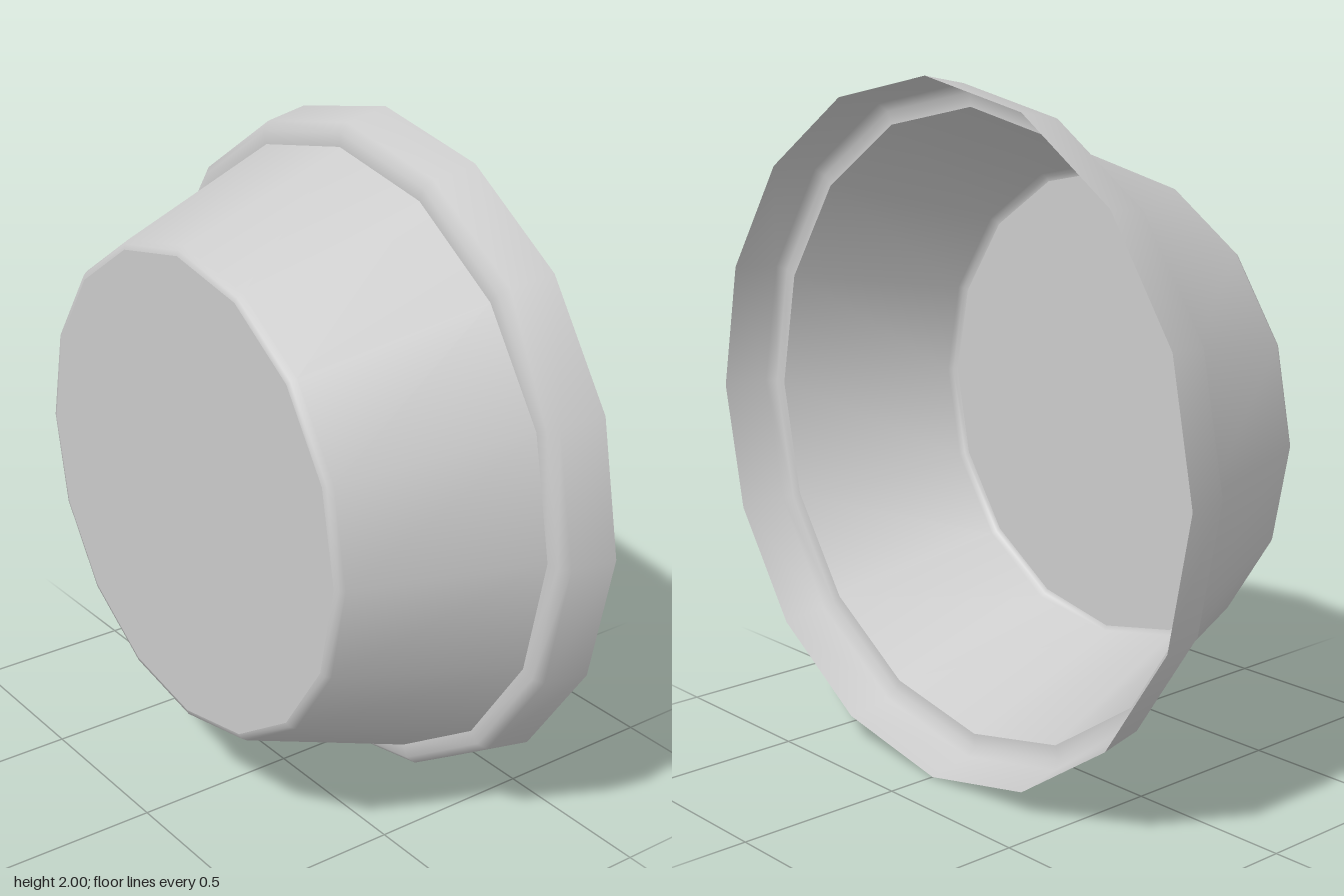
import * as THREE from 'three';

const SIDES = 16;

export function createModel() {
  const model = new THREE.Group();
  model.name = 'dish';
  const material = new THREE.MeshStandardMaterial({ color: 0xcccccc, side: THREE.DoubleSide });

  const add = (name, geometry) => {
    const mesh = new THREE.Mesh(geometry, material);
    mesh.name = name;
    mesh.position.y = 1;
    model.add(mesh);
  };

  // Thin ring turned about the z axis from [radius, z] pairs
  const turned = (profile) =>
    new THREE.LatheGeometry(profile.map(([r, z]) => new THREE.Vector2(r, z)), SIDES).rotateX(Math.PI / 2);

  // Flared lip around the open back, with a bevelled step down to the wall
  add('rim', turned([[1, -0.35], [0.975, -0.215], [0.95, -0.19], [0.91, -0.19]]));

  // Tapered wall, bevelled where it meets the base
  add('wall', turned([[0.91, -0.19], [0.725, 0.33], [0.715, 0.345], [0.7, 0.35]]));

  // Flat closed base at the front
  add('base', new THREE.CircleGeometry(0.7, SIDES).translate(0, 0, 0.35));

  return model;
}
